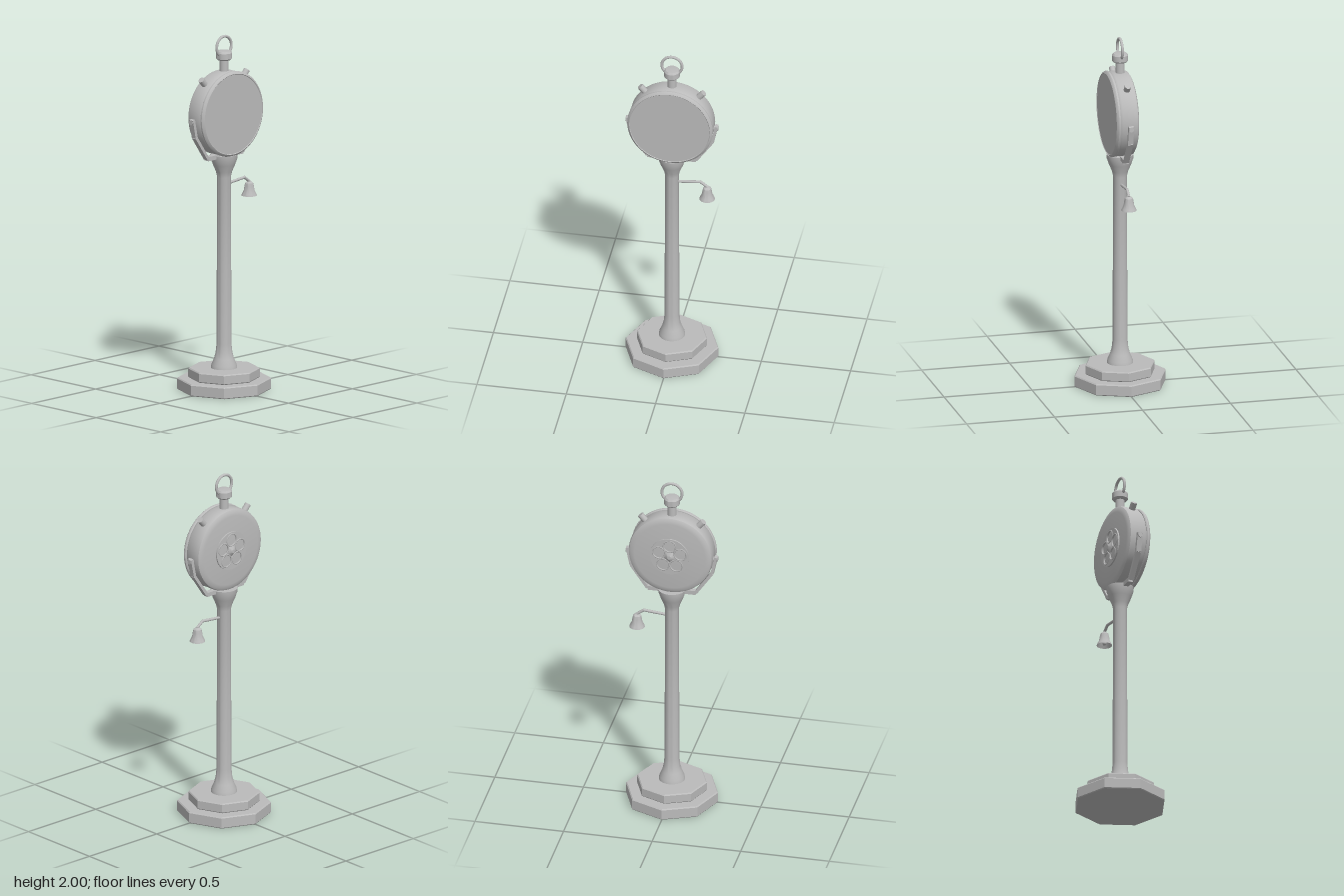
import * as THREE from 'three';
import { toCreasedNormals } from 'three/addons/utils/BufferGeometryUtils.js';

export function createModel() {
  const model = new THREE.Group();
  const grey = new THREE.MeshStandardMaterial({ color: 0xbbbbbb });
  const greyOpen = new THREE.MeshStandardMaterial({ color: 0xbbbbbb, side: THREE.DoubleSide });
  greyOpen.name = 'grey shell';
  grey.name = 'grey';

  function add(name, geometry, parent = model, material = grey) {
    const mesh = new THREE.Mesh(geometry, material);
    mesh.name = name;
    parent.add(mesh);
    return mesh;
  }
  // Turned part from [radius, height] pairs, with sharp edges kept
  function turned(points, sides = 48, crease = 0.6) {
    const profile = points.map(([r, y]) => new THREE.Vector2(r, y));
    return toCreasedNormals(new THREE.LatheGeometry(profile, sides), crease);
  }
  // Straight bar between two points in the x-y plane
  function bar(name, a, b, width, depth, parent, round = false) {
    const dx = b[0] - a[0], dy = b[1] - a[1], length = Math.hypot(dx, dy);
    const geometry = round
      ? new THREE.CylinderGeometry(width / 2, width / 2, length, 12)
      : new THREE.BoxGeometry(width, length, depth);
    const mesh = add(name, geometry, parent);
    mesh.position.set((a[0] + b[0]) / 2, (a[1] + b[1]) / 2, 0);
    mesh.rotation.z = Math.atan2(-dx, dy);
    return mesh;
  }

  // Stepped octagonal base
  const steps = [['lowerBase', 0.26, 0, 0.066], ['upperBase', 0.197, 0.066, 0.122]];
  for (const [name, r, y0, y1] of steps) {
    add(name, turned([[0, y0], [r - 0.004, y0], [r, y0 + 0.005], [r, y1 - 0.006],
      [r - 0.006, y1], [0, y1]], 8, 0.3));
  }

  // Column with flared foot and capital
  add('column', turned([[0, 0.12], [0.073, 0.12], [0.07, 0.14], [0.055, 0.175], [0.046, 0.21],
    [0.041, 0.26], [0.04, 0.65], [0.038, 1.2], [0.045, 1.23], [0.062, 1.27], [0.074, 1.305],
    [0.076, 1.328], [0, 1.328]], 32));

  // Round case, bezel and front dial, turned about the z axis
  const head = new THREE.Group();
  head.name = 'head';
  head.position.y = 1.563;
  model.add(head);
  const frontTurned = (name, points) => {
    add(name, turned(points, 64), head).rotation.x = Math.PI / 2;
  };
  frontTurned('case', [[0, -0.056], [0.2, -0.056], [0.22, -0.053], [0.232, -0.046],
    [0.236, -0.034], [0.236, 0.04], [0.23, 0.05], [0, 0.05]]);
  frontTurned('bezel', [[0.222, 0.05], [0.234, 0.05], [0.239, 0.055], [0.239, 0.064],
    [0.234, 0.071], [0.226, 0.076], [0.222, 0.072]]);
  frontTurned('dial', [[0, 0.05], [0.224, 0.05], [0.224, 0.073], [0, 0.073]]);

  // Pierced round grille on the back
  const plate = new THREE.Shape().absarc(0, 0, 0.11, 0, Math.PI * 2);
  const grille = new THREE.Group();
  grille.name = 'backGrille';
  grille.position.z = -0.054;
  grille.rotation.y = Math.PI;
  head.add(grille);
  for (let i = 0; i < 5; i++) {
    const angle = Math.PI / 2 + i * Math.PI * 0.4;
    const x = 0.064 * Math.cos(angle), y = 0.064 * Math.sin(angle);
    plate.holes.push(new THREE.Path().absarc(x, y, 0.034, 0, Math.PI * 2, true));
    const rim = add('grilleRing', new THREE.TorusGeometry(0.035, 0.004, 6, 28), grille);
    rim.position.set(x, y, 0.009);
  }
  add('grillePlate', new THREE.ExtrudeGeometry(plate,
    { depth: 0.01, bevelEnabled: false, curveSegments: 24 }), grille);
  const hub = add('grilleHub', new THREE.CylinderGeometry(0.012, 0.034, 0.014, 5), grille);
  hub.rotation.x = Math.PI / 2;
  hub.position.z = 0.016;

  // Crown and hanging loop
  add('crownStem', new THREE.CylinderGeometry(0.025, 0.025, 0.09, 24)).position.y = 1.825;
  add('crownKnob', turned([[0, 1.86], [0.036, 1.86], [0.044, 1.868], [0.044, 1.9],
    [0.036, 1.91], [0, 1.914]], 32));
  add('crownLoop', new THREE.TorusGeometry(0.057, 0.008, 12, 48)).position.y = 1.935;

  // Side buttons and cradle arms, mirrored
  for (const side of [-1, 1]) {
    bar('button', [side * 0.142, 1.733], [side * 0.178, 1.774], 0.036, 0, model, true);
    const arm = new THREE.Group();
    arm.name = side > 0 ? 'leftCradle' : 'rightCradle';
    model.add(arm);
    const path = [[0.05, 1.322], [0.136, 1.322], [0.228, 1.455], [0.25, 1.56]];
    for (let i = 0; i < 3; i++) {
      bar('cradleBar', [side * path[i][0], path[i][1]], [side * path[i + 1][0], path[i + 1][1]],
        i ? 0.017 : 0.024, 0.03, arm);
    }
    const pin = add('cradlePivot', new THREE.CylinderGeometry(0.014, 0.014, 0.03, 12), arm);
    pin.rotation.z = Math.PI / 2;
    pin.position.set(side * 0.244, 1.545, 0);
  }

  // Bell hanging from a bent bracket
  const bell = new THREE.Group();
  bell.name = 'bell';
  model.add(bell);
  bar('bellArm', [0.036, 1.158], [0.16, 1.17], 0.016, 0, bell, true);
  bar('bellArm', [0.157, 1.172], [0.2, 1.14], 0.016, 0, bell, true);
  const shell = add('bellShell', turned([[0.043, 1.062], [0.039, 1.073], [0.03, 1.09],
    [0.026, 1.115], [0.022, 1.132], [0.012, 1.141], [0, 1.143]].reverse().map(([r, y]) => [r, y]).reverse(),
    32), bell, greyOpen);
  shell.position.x = 0.197;
  const clapper = add('bellClapper', new THREE.SphereGeometry(0.012, 12, 8), bell);
  clapper.position.set(0.197, 1.075, 0);
  bar('clapperRod', [0.197, 1.14], [0.197, 1.075], 0.006, 0, bell, true);

  return model;
}
